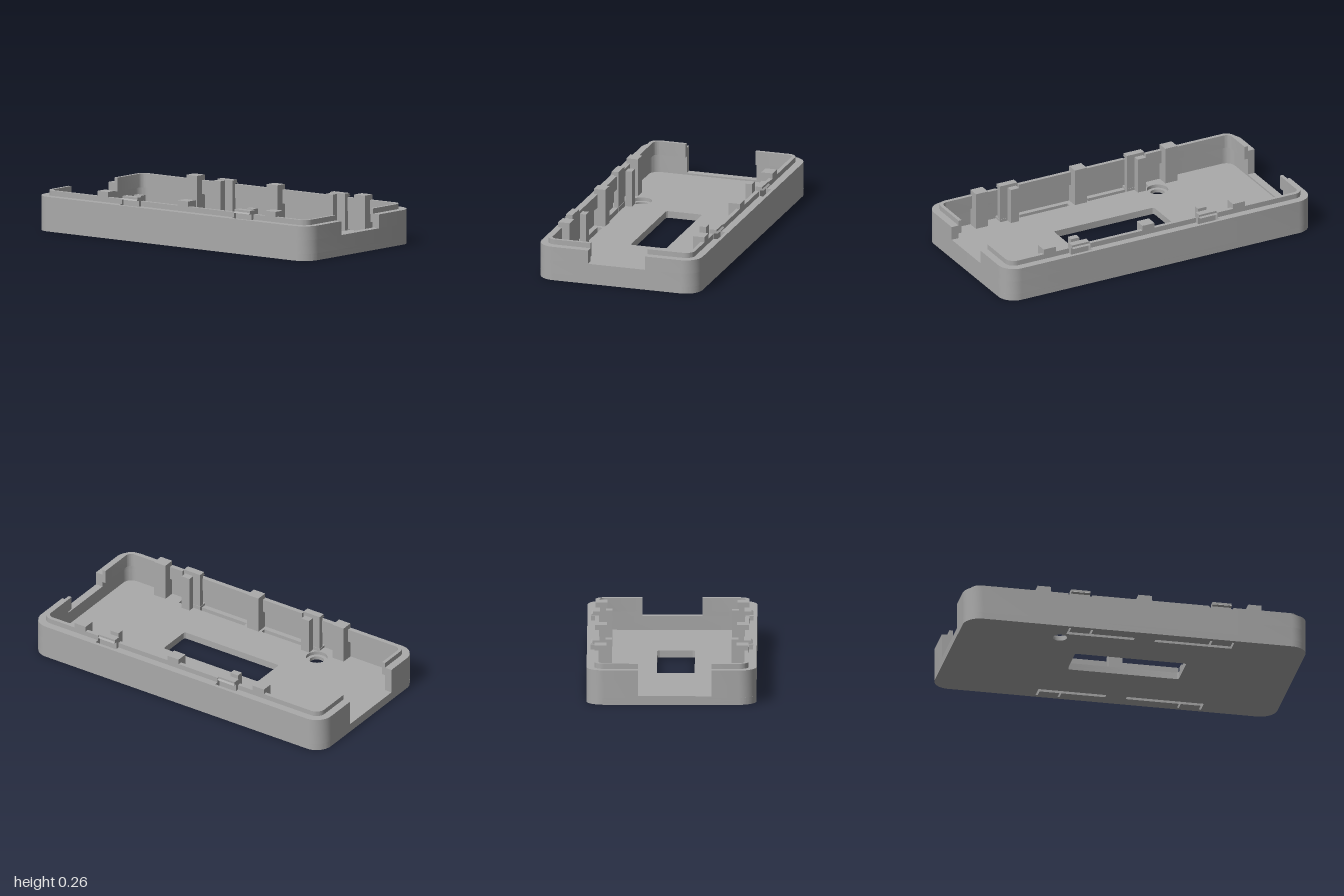
import * as THREE from 'three';
import { toCreasedNormals } from 'three/addons/utils/BufferGeometryUtils.js';

const plastic = new THREE.MeshStandardMaterial({ color: 0xaaaaaa });
plastic.name = 'grey plastic';

const FLOOR = 0.04, RIM = 0.2, LIP_BOTTOM = 0.15, LIP_TOP = 0.23;
const POCKETS = [[-0.395, -0.255], [0.43, 0.57]]; // z ranges of the clip pockets

export function createModel() {
  const group = new THREE.Group();

  const add = (name, geometry) => {
    const mesh = new THREE.Mesh(geometry, plastic);
    mesh.name = name;
    group.add(mesh);
    return mesh;
  };

  // Extrudes a plan drawn in x and z from height y0 to y1
  const slab = (name, shape, y0, y1) => {
    const g = new THREE.ExtrudeGeometry(shape, { depth: y1 - y0, bevelEnabled: false, curveSegments: 10 });
    g.rotateX(Math.PI / 2).translate(0, y1, 0);
    return add(name, toCreasedNormals(g, 0.5));
  };

  const box = (name, x0, x1, y0, y1, z0, z1) => {
    const g = new THREE.BoxGeometry(Math.abs(x1 - x0), y1 - y0, z1 - z0);
    return add(name, g.translate((x0 + x1) / 2, (y0 + y1) / 2, (z0 + z1) / 2));
  };

  const roundedRect = (Type, x0, x1, z0, z1, r) => {
    const p = new Type();
    p.absarc(x1 - r, z1 - r, r, 0, Math.PI / 2);
    p.absarc(x0 + r, z1 - r, r, Math.PI / 2, Math.PI);
    p.absarc(x0 + r, z0 + r, r, Math.PI, Math.PI * 1.5);
    p.absarc(x1 - r, z0 + r, r, Math.PI * 1.5, Math.PI * 2);
    p.closePath();
    return p;
  };

  // J-shaped wall: from x = gap on an end face, round the corner, to z = end on a long side
  const corner = (name, sx, sz, outer, inner, gap, end, y0, y1) => {
    const arc = ([x, z, r], back) => {
      const pts = [];
      for (let i = 0; i <= 10; i++) {
        const a = (i / 10) * Math.PI / 2;
        pts.push([x - r + r * Math.sin(a), z - r + r * Math.cos(a)]);
      }
      return back ? pts.reverse() : pts;
    };
    const pts = [[gap, outer[1]], ...arc(outer), [outer[0], end],
      [inner[0], end], ...arc(inner, true), [gap, inner[1]]];
    return slab(name, new THREE.Shape(pts.map(([x, z]) => new THREE.Vector2(sx * x, sz * z))), y0, y1);
  };

  // Floor plate in two layers, the upper one with a wider counterbore
  const floorPlan = (boreRadius) => {
    const shape = roundedRect(THREE.Shape, -0.485, 0.485, -1, 1, 0.1);
    shape.holes.push(roundedRect(THREE.Path, -0.13, 0.085, -0.29, 0.36, 0.015));
    shape.holes.push(new THREE.Path().absarc(-0.325, -0.42, boreRadius, 0, Math.PI * 2));
    // Side slots with two thin relief cuts beside each clip
    const e = 0.012;
    [[-0.395, 0], [0.12, 0.57]].forEach(([a, b], i) => {
      const [p, q] = POCKETS[i];
      const pts = [[0.38, a], [0.38, b]];
      if (q < b) pts.push([0.41, b], [0.41, q]);
      pts.push([0.462, q], [0.462, q - e], [0.41, q - e], [0.41, p + e], [0.462, p + e], [0.462, p]);
      if (p > a) pts.push([0.41, p], [0.41, a]);
      for (const s of [-1, 1]) {
        shape.holes.push(new THREE.Path(pts.map(([x, z]) => new THREE.Vector2(s * x, z))));
      }
    });
    return shape;
  };
  slab('floorLower', floorPlan(0.041), 0, 0.02);
  slab('floorUpper', floorPlan(0.062), 0.02, FLOOR);

  const shellOuter = [0.485, 1, 0.1], shellInner = [0.44, 0.955, 0.055], lipInner = [0.417, 0.935, 0.035];
  const [[backStart, backEnd], [frontStart, frontEnd]] = POCKETS;

  for (const s of [-1, 1]) {
    const backGap = s < 0 ? 0.23 : 0.19;

    // Corner walls, with an opening in the front and a deeper one in the back
    corner('frontWallLow', s, 1, shellOuter, shellInner, 0, frontEnd, FLOOR, 0.12);
    corner('frontWallHigh', s, 1, shellOuter, shellInner, 0.172, frontEnd, 0.12, RIM);
    corner('backWall', s, -1, shellOuter, shellInner, backGap, -backStart, FLOOR, RIM);

    // Raised inner lip
    corner('frontLip', s, 1, shellInner, lipInner, 0.172, frontEnd, LIP_BOTTOM, LIP_TOP);
    corner('backLip', s, -1, shellInner, lipInner, backGap, -backStart, LIP_BOTTOM, LIP_TOP);
    box('sideLip', s * 0.417, s * 0.44, LIP_BOTTOM, LIP_TOP, backEnd, frontStart);

    // Side wall, thinner behind the clips
    box('sideWall', s * 0.44, s * 0.485, FLOOR, RIM, backEnd, frontStart);
    for (const [z0, z1] of POCKETS) {
      box('pocketWall', s * 0.465, s * 0.485, FLOOR, RIM, z0, z1);

      // Snap clip with an outward barb
      const profile = [[0.412, 0.02], [0.44, 0.02], [0.44, 0.229], [0.463, 0.231],
        [0.453, 0.238], [0.453, 0.25], [0.412, 0.25]];
      const g = new THREE.ExtrudeGeometry(
        new THREE.Shape(profile.map(([x, y]) => new THREE.Vector2(s * x, y))),
        { depth: 0.112, bevelEnabled: false });
      add('snapClip', g.translate(0, 0, (z0 + z1) / 2 - 0.056));

      // Stop post facing the clip
      const c = (z0 + z1) / 2 - 0.003;
      box('stopPost', s * 0.342, s * 0.38, FLOOR - 0.005, 0.25, c - 0.027, c + 0.027);
    }

    // Tall support posts
    for (const z of [-0.535, 0.053, 0.695]) {
      box('supportPost', s * 0.371, s * 0.44, FLOOR - 0.005, 0.26, z - 0.039, z + 0.039);
    }
  }

  // Sill under the back opening
  box('backSill', -0.23, 0.19, FLOOR, 0.05, -1, -0.955);

  return group;
}
